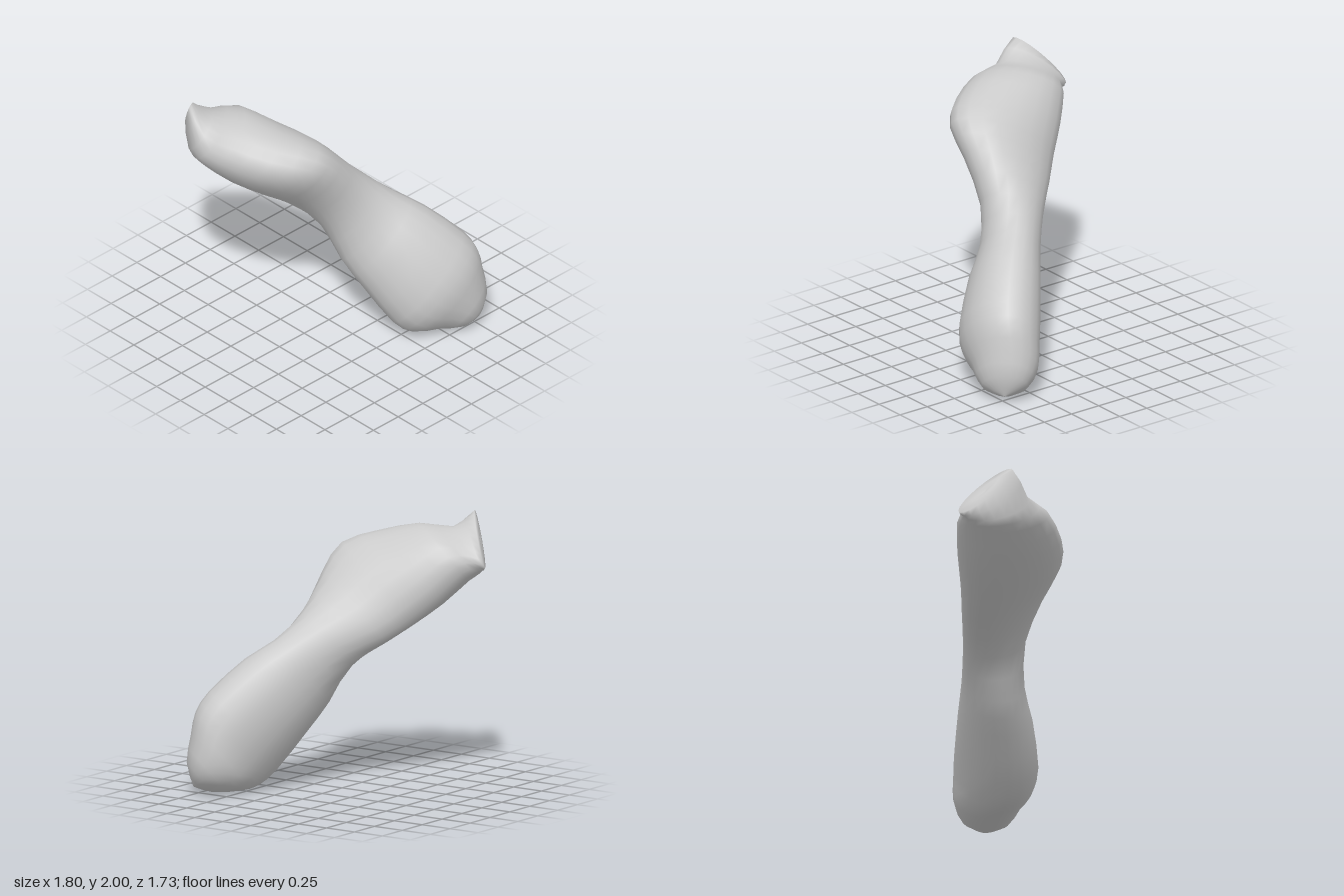
import * as THREE from 'three';

// Cross-sections along the bone axis:
// [along, centre side, centre up, side radius, shear, up radius, tilt, lean]
const SECTIONS = [
  [-1.45, 0.02, 0, 0, 0, 0, 0, 0],
  [-1.37, 0.015, 0.02, 0.17, 0.02, 0.15, 0, 0],
  [-1.21, 0, 0.02, 0.25, 0.04, 0.285, 0, 0],
  [-1.08, -0.04, 0.03, 0.29, 0.09, 0.365, 0, 0],
  [-0.9, -0.065, 0.05, 0.308, 0.107, 0.39, 0, 0],
  [-0.55, -0.06, 0.086, 0.272, 0.08, 0.36, 0, 0],
  [-0.3, -0.045, 0.096, 0.23, 0.06, 0.312, 0, 0],
  [0, -0.055, 0.152, 0.228, -0.035, 0.264, 0, 0],
  [0.3, -0.12, 0.178, 0.3, -0.153, 0.28, 0, 0],
  [0.54, -0.18, 0.175, 0.367, -0.177, 0.312, 0, 0],
  [0.8, -0.17, 0.105, 0.379, -0.115, 0.3, 0, 0],
  [1.05, -0.125, 0.036, 0.335, -0.047, 0.257, -0.02, 0],
  [1.18, -0.07, -0.05, 0.245, -0.04, 0.17, -0.1, 0.15],
  [1.31, 0, -0.035, 0.2, -0.117, 0.085, -0.3, 0.4],
  [1.31, 0, -0.035, 0, 0, 0, -0.3, 0.4],
];
const SIDES = 20;
const STEPS = 2;

// Oblique frame of the bone: side, up and long axis, through its middle
const SIDE = new THREE.Vector3(0.707, 0, -0.707);
const UP = new THREE.Vector3(0.46, 0.76, 0.46);
const AXIS = new THREE.Vector3(-0.537, 0.65, -0.537);
const MIDDLE = new THREE.Vector3(0, 1, 0);

// Smooth interpolation between neighbouring sections
function sectionAt(u) {
  const last = SECTIONS.length - 1;
  const i = Math.min(Math.floor(u), last - 1);
  const f = u - i;
  const at = (k) => SECTIONS[Math.max(0, Math.min(last, k))];
  return SECTIONS[0].map((_, c) => {
    const [p, a, b, n] = [at(i - 1)[c], at(i)[c], at(i + 1)[c], at(i + 2)[c]];
    const t0 = (b - p) / 2, t1 = (n - a) / 2;
    const f2 = f * f, f3 = f2 * f;
    return (2 * f3 - 3 * f2 + 1) * a + (f3 - 2 * f2 + f) * t0 + (3 * f2 - 2 * f3) * b + (f3 - f2) * t1;
  });
}

// Skin of sheared elliptical rings, closed to a point at both ends
function boneGeometry() {
  const positions = [];
  const index = [];
  const rings = (SECTIONS.length - 1) * STEPS;
  for (let i = 0; i <= rings; i++) {
    const [along, cs, cu, rs, shear, ru, tilt, lean] = sectionAt(i / STEPS);
    for (let j = 0; j < SIDES; j++) {
      const angle = (j / SIDES) * Math.PI * 2;
      const s = cs + rs * Math.cos(angle);
      const rise = shear * Math.cos(angle) + ru * Math.sin(angle);
      const p = MIDDLE.clone()
        .addScaledVector(SIDE, s)
        .addScaledVector(UP, cu + rise)
        .addScaledVector(AXIS, along + tilt * s + lean * rise);
      positions.push(p.x, p.y, p.z);
      if (i < rings) {
        const k = (j + 1) % SIDES;
        const a = i * SIDES + j, b = i * SIDES + k;
        index.push(a, a + SIDES, b, b, a + SIDES, b + SIDES);
      }
    }
  }
  const geometry = new THREE.BufferGeometry();
  geometry.setAttribute('position', new THREE.Float32BufferAttribute(positions, 3));
  geometry.setIndex(index);
  geometry.computeVertexNormals();
  return geometry;
}

export function createModel() {
  const group = new THREE.Group();
  group.name = 'bone';
  const material = new THREE.MeshStandardMaterial({ color: 0xcccccc });
  // Rounded lower knob, narrow neck and flared upper end in one skin
  const bone = new THREE.Mesh(boneGeometry(), material);
  bone.name = 'boneBody';
  group.add(bone);
  return group;
}
